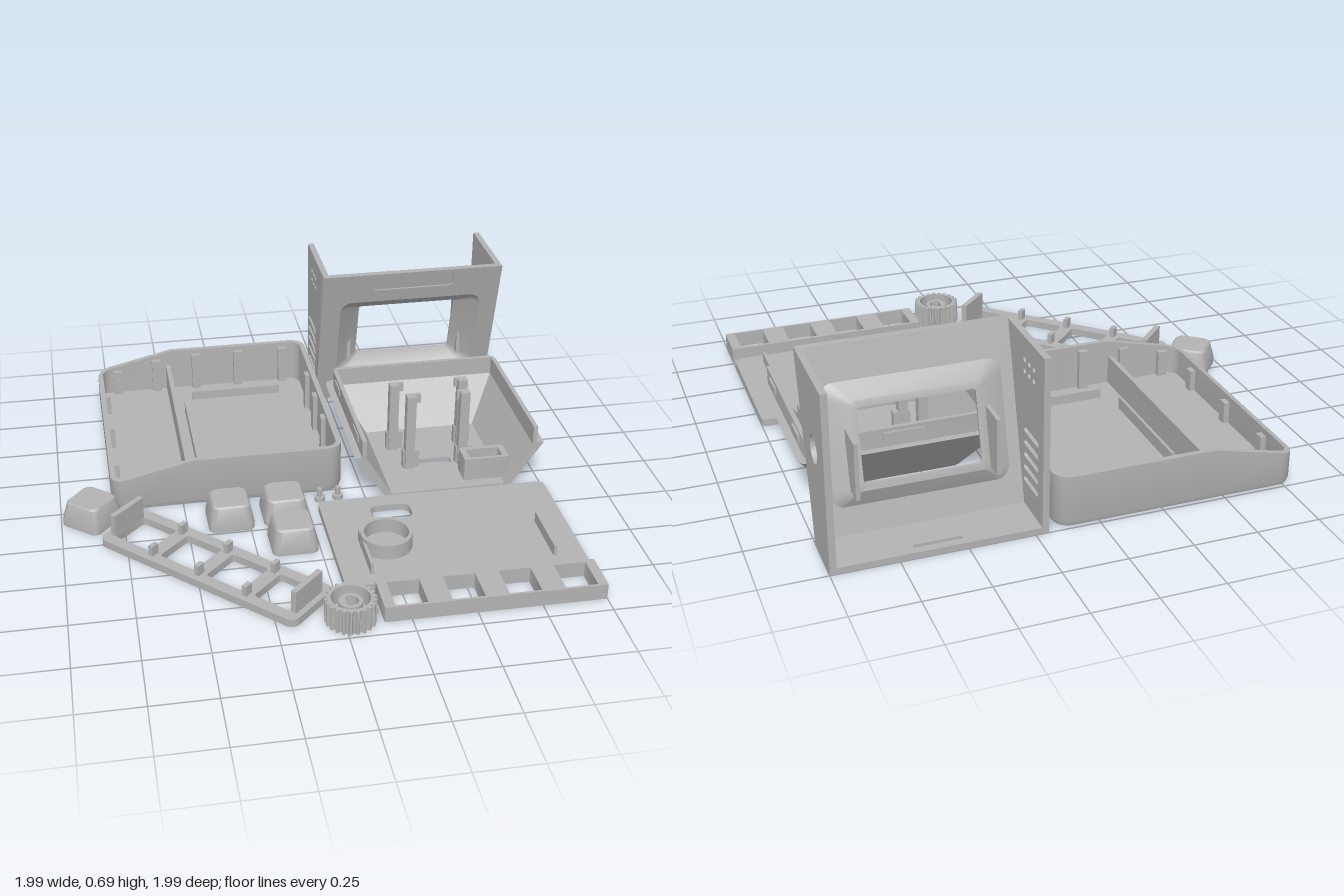
import * as THREE from 'three';
import { toCreasedNormals } from 'three/addons/utils/BufferGeometryUtils.js';

export function createModel() {
  const model = new THREE.Group();
  const grey = new THREE.MeshStandardMaterial({ color: 0xb3b3b3, side: THREE.DoubleSide });
  grey.name = 'plain grey plastic';

  const group = (name, parent = model) => {
    const g = new THREE.Group();
    g.name = name;
    parent.add(g);
    return g;
  };
  const add = (parent, name, geo) => {
    const m = new THREE.Mesh(toCreasedNormals(geo, 0.6), grey);
    m.name = name;
    parent.add(m);
    return m;
  };
  // box given by its minimum and maximum corners
  const box = (parent, name, x0, x1, y0, y1, z0, z1) =>
    add(parent, name, new THREE.BoxGeometry(x1 - x0, y1 - y0, z1 - z0)
      .translate((x0 + x1) / 2, (y0 + y1) / 2, (z0 + z1) / 2));
  // rounded rectangle as 2D points, optionally split where u = split
  const ring = (u0, v0, u1, v1, r, split) => {
    const pts = [];
    [[u1 - r, v1 - r], [u0 + r, v1 - r], [u0 + r, v0 + r], [u1 - r, v0 + r]].forEach(([cu, cv], q) => {
      for (let i = 0; i <= 6; i++) {
        const a = (q + i / 6) * Math.PI / 2;
        pts.push(new THREE.Vector2(cu + r * Math.cos(a), cv + r * Math.sin(a)));
      }
      if (split !== undefined && q % 2 === 0) pts.push(new THREE.Vector2(split, q ? v0 : v1));
    });
    return pts;
  };
  const circle = (u, v, r) => new THREE.Path().absarc(u, v, r, 0, Math.PI * 2);
  const shapeOf = (pts, holes = []) => {
    const s = new THREE.Shape(pts);
    s.holes = holes.map(h => (Array.isArray(h) ? new THREE.Path(h) : h));
    return s;
  };
  const extrude = (shape, depth) =>
    new THREE.ExtrudeGeometry(shape, { depth, bevelEnabled: false, curveSegments: 24 });
  // shape drawn in (x, z), raised from y0 to y1
  const slab = (shape, y0, y1) => extrude(shape, y1 - y0).rotateX(Math.PI / 2).translate(0, y1, 0);
  // skin through matching loops, with optional end caps
  const loft = (loops, caps) => {
    const p = [], n = loops[0].length;
    const tri = (...v) => v.forEach(q => p.push(q.x, q.y, q.z));
    const mid = l => l.reduce((s, q) => s.add(q), new THREE.Vector3()).divideScalar(n);
    for (let i = 0; i < n; i++) {
      const j = (i + 1) % n;
      for (let k = 0; k + 1 < loops.length; k++) {
        const a = loops[k], b = loops[k + 1];
        tri(a[i], b[i], a[j]);
        tri(a[j], b[i], b[j]);
      }
      if (caps) {
        const f = loops[0], l = loops[loops.length - 1];
        tri(mid(f), f[i], f[j]);
        tri(mid(l), l[j], l[i]);
      }
    }
    return new THREE.BufferGeometry().setAttribute('position', new THREE.Float32BufferAttribute(p, 3));
  };
  const level = (pts, fy) => pts.map(q => new THREE.Vector3(q.x, typeof fy === 'function' ? fy(q.x) : fy, q.y));

  // ---- Large open tray with a sloping low end ----
  const tray = group('baseTray');
  const rimY = x => Math.min(0.21, 0.13 + (x + 0.79) * 0.235);
  const trayRing = (i, r) => ring(-0.79 + i, -1 + i, 0.17 - i, 0.015 - i, r, -0.45);
  add(tray, 'trayShell', loft([
    level(trayRing(0.022, 0.05), 0), level(trayRing(0.006, 0.06), 0.008), level(trayRing(0, 0.065), 0.025),
    level(trayRing(0, 0.065), rimY), level(trayRing(0.022, 0.045), rimY), level(trayRing(0.022, 0.045), 0.02),
  ], true));
  box(tray, 'trayDivider', -0.475, -0.455, 0.02, 0.14, -0.98, -0.005);
  box(tray, 'trayLongRib', -0.415, -0.403, 0.02, 0.07, -0.74, -0.24);
  for (const z of [-0.85, -0.125]) box(tray, 'trayCrossRib', -0.37, 0.035, 0.02, 0.06, z - 0.006, z + 0.006);
  for (const x of [-0.7, -0.52, -0.335, -0.14, 0.07])
    for (const z of [-0.968, -0.017])
      box(tray, 'trayWallRib', x - 0.02, x + 0.02, 0.02, rimY(x) - 0.02, z - 0.012, z + 0.012);
  for (const z of [-0.79, -0.49, -0.185]) box(tray, 'trayLowEndRib', -0.77, -0.745, 0.02, 0.11, z - 0.02, z + 0.02);
  for (const z of [-0.69, -0.49, -0.29]) box(tray, 'trayHighEndRib', 0.128, 0.15, 0.02, 0.19, z - 0.02, z + 0.02);

  // ---- Screen bezel: leaning front, two sides and a floor, open above and behind ----
  const bezel = group('screenBezel');
  const faceZ = y => -0.79 + 0.26 * y;
  const lean = geo => {
    const p = geo.attributes.position;
    for (let i = 0; i < p.count; i++) p.setZ(i, p.getZ(i) + faceZ(p.getY(i)));
    return geo;
  };
  const badge = ring(0.42, 0.605, 0.785, 0.675, 0.02);
  add(bezel, 'bezelFront', lean(extrude(
    shapeOf(ring(0.2, 0, 1, 0.69, 0.004), [ring(0.285, 0.14, 0.92, 0.545, 0.05), badge]), 0.03).translate(0, 0, -0.03)));
  add(bezel, 'badgeRecess', lean(extrude(shapeOf(badge), 0.02).translate(0, 0, -0.03)));
  const frame = (x0, y0, x1, y1, r, d) =>
    ring(x0, y0, x1, y1, r).map(q => new THREE.Vector3(q.x, q.y, faceZ(q.y) + d));
  add(bezel, 'screenSurround', loft([
    frame(0.27, 0.125, 0.935, 0.56, 0.05, -0.03), frame(0.36, 0.195, 0.845, 0.51, 0.02, -0.08),
    frame(0.385, 0.22, 0.82, 0.485, 0.01, -0.08), frame(0.385, 0.22, 0.82, 0.485, 0.01, -0.07),
    frame(0.31, 0.16, 0.895, 0.525, 0.035, -0.03), frame(0.285, 0.14, 0.92, 0.545, 0.05, 0),
  ]));
  const sideWall = (name, holes, xMax) => add(bezel, name, extrude(shapeOf(
    [[-1, 0], [-0.81, 0], [-0.785, 0.02], [-0.612, 0.69], [-1, 0.69]].map(q => new THREE.Vector2(...q)), holes), 0.025)
    .rotateY(-Math.PI / 2).translate(xMax, 0, 0));
  const vents = [];
  for (let i = 0; i < 5; i++) {
    const y = 0.12 + i * 0.05;
    vents.push(ring(-0.95, y, -0.81, y + 0.022, 0.008));
    box(bezel, 'ventLedge', 0.192, 0.2, y + 0.022, y + 0.032, -0.95, -0.81);
  }
  for (let i = 0; i < 6; i++) vents.push(circle(-0.9 + (i % 3) * 0.045, i < 3 ? 0.56 : 0.605, 0.012));
  sideWall('ventedSide', vents, 0.225);
  sideWall('holedSide', [circle(-0.855, 0.415, 0.053)], 1);
  add(bezel, 'bezelFloor', slab(shapeOf(ring(0.2, -1, 1, -0.79, 0.004), [ring(0.51, -0.968, 0.69, -0.95, 0.008)]), 0, 0.025));
  for (const x of [0.345, 0.86]) box(bezel, 'bezelFin', x - 0.008, x + 0.008, 0.2, 0.42, -0.88, -0.76);

  // ---- Tapered rear case, open at the front ----
  const rear = group('rearCase');
  const uShape = (x0, x1, zb, t, c) => shapeOf([
    [x0, 0.105], [x0, zb + c], [x0 + c * 0.3, zb + c * 0.3], [x0 + c, zb],
    [x1 - c, zb], [x1 - c * 0.3, zb + c * 0.3], [x1, zb + c], [x1, 0.105],
    [x1 - t, 0.105], [x1 - t, zb + t], [x0 + t, zb + t], [x0 + t, 0.105],
  ].map(q => new THREE.Vector2(...q)));
  const walls = slab(uShape(0.2, 1, -0.585, 0.045, 0.04), 0, 0.205);
  const wp = walls.attributes.position;
  for (let i = 0; i < wp.count; i++) {
    const k = 1 - wp.getY(i) / 0.205;
    wp.setX(i, 0.6 + (wp.getX(i) - 0.6) * (1 - 0.35 * k));
    wp.setZ(i, 0.105 + (wp.getZ(i) - 0.105) * (1 - 0.225 * k));
  }
  add(rear, 'slopingWalls', walls);
  add(rear, 'caseLip', slab(uShape(0.23, 0.97, -0.555, 0.018, 0.03), 0.2, 0.28));
  add(rear, 'caseFloor', slab(shapeOf(ring(0.345, -0.42, 0.855, 0.105, 0.004),
    [ring(0.53, -0.145, 0.67, -0.1, 0.015), ring(0.72, -0.015, 0.83, 0.035, 0.015)]), 0, 0.02));
  add(rear, 'socketFrame', slab(shapeOf(ring(0.68, -0.045, 0.87, 0.055, 0.005),
    [ring(0.705, -0.025, 0.845, 0.04, 0.01)]), 0.02, 0.12));
  for (const z of [-0.42, -0.02])
    for (const x of [0.225, 0.97]) box(rear, 'sideSnap', x, x + 0.008, 0.235, 0.265, z - 0.05, z + 0.05);
  box(rear, 'backSnap', 0.52, 0.68, 0.235, 0.265, -0.563, -0.555);
  for (const [dx, z, h] of [[0.15, -0.26, 0.335], [0.115, -0.095, 0.365]])
    for (const s of [-1, 1]) {
      const x = 0.6 + s * dx;
      box(rear, 'boardPost', x - 0.028, x + 0.012, 0.02, h, z - 0.02, z + 0.02);
      box(rear, 'boardPostClaw', x - (s < 0 ? -0.01 : 0.04), x + (s < 0 ? 0.035 : -0.02), h - 0.04, h, z - 0.02, z - 0.005);
      box(rear, 'boardPostFoot', x - 0.035, x + 0.035, 0.02, 0.1, z - 0.023, z + 0.008);
    }

  // ---- Flat cover panel ----
  const cover = group('coverPanel');
  add(cover, 'coverPlate', slab(shapeOf(ring(0.04, 0.13, 1, 0.73, 0.025), [ring(0.24, 0.2, 0.405, 0.305, 0.035)]), 0, 0.03));
  add(cover, 'coverRing', slab(shapeOf(circle(0.25, 0.48, 0.103).getPoints(40), [circle(0.25, 0.48, 0.088)]), 0.03, 0.092));
  for (const x of [0.155, 0.88]) box(cover, 'coverRib', x - 0.006, x + 0.006, 0.03, 0.075, 0.42, 0.665);

  // ---- Strip of four square sockets ----
  const strip = group('socketStrip');
  const sockets = [0, 1, 2, 3].map(i => ring(0.185 + i * 0.217, 0.775, 0.31 + i * 0.217, 0.92, 0.003));
  add(strip, 'stripBody', slab(shapeOf(ring(0.145, 0.76, 1, 0.93, 0.004), sockets), 0, 0.065));

  // ---- Diagonal key frame, built along x and then turned ----
  const keyFrame = group('keyFrame');
  const keyHoles = [-1.5, -0.5, 0.5, 1.5].map(i => ring(i * 0.227 - 0.085, -0.085, i * 0.227 + 0.085, 0.085, 0.012));
  add(keyFrame, 'keyFramePlate', slab(shapeOf(ring(-0.473, -0.132, 0.473, 0.132, 0.035), keyHoles), 0, 0.032));
  for (const s of [-1, 1]) {
    box(keyFrame, 'endTab', s * 0.437 - 0.012, s * 0.437 + 0.012, 0.03, 0.125, -0.085, 0.085);
    for (const x of [-0.227, 0, 0.227])
      box(keyFrame, 'keyPeg', x - 0.01, x + 0.01, 0.03, 0.075, s * 0.09 - 0.018, s * 0.09 + 0.018);
  }
  keyFrame.position.set(-0.43, 0, 0.487);
  keyFrame.rotation.y = -Math.PI / 4;

  // ---- Four loose keys ----
  const half = h => ring(-h, -h, h, h, 0.03);
  for (const [x, z, a] of [[-0.325, 0.15, 0], [-0.1, 0.14, 0], [-0.1, 0.355, 0], [-0.875, 0.06, 0.87]]) {
    const key = add(model, 'key', loft([level(half(0.092), 0), level(half(0.092), 0.025),
      level(half(0.077), 0.098), level(half(0.07), 0.105)], true));
    key.position.set(x, 0, z);
    key.rotation.y = a;
  }

  // ---- Toothed knob with a D-shaped shaft socket ----
  const knob = group('knob');
  const teeth = [];
  for (let i = 0; i < 88; i++) {
    const a = i / 88 * Math.PI * 2, r = i % 4 < 2 ? 0.098 : 0.086;
    teeth.push(new THREE.Vector2(r * Math.cos(a), r * Math.sin(a)));
  }
  add(knob, 'knobGrip', slab(shapeOf(teeth, [circle(0, 0, 0.074)]), 0, 0.1));
  add(knob, 'knobBase', new THREE.CylinderGeometry(0.076, 0.076, 0.03, 32).translate(0, 0.015, 0));
  const dHole = new THREE.Path().absarc(0, 0, 0.03, -2.2, 2.2);
  dHole.closePath();
  add(knob, 'shaftSocket', slab(shapeOf(circle(0, 0, 0.045).getPoints(32), [dHole]), 0.03, 0.085));
  knob.position.set(0.025, 0, 0.89);

  // ---- Two small pins ----
  for (const [x, z] of [[0.06, 0.07], [0.137, 0.066]]) {
    const pin = group('pin');
    add(pin, 'pinHead', new THREE.CylinderGeometry(0.022, 0.022, 0.02, 20).translate(0, 0.01, 0));
    add(pin, 'pinStem', new THREE.CylinderGeometry(0.012, 0.012, 0.04, 6).translate(0, 0.035, 0));
    pin.position.set(x, 0, z);
  }
  return model;
}
